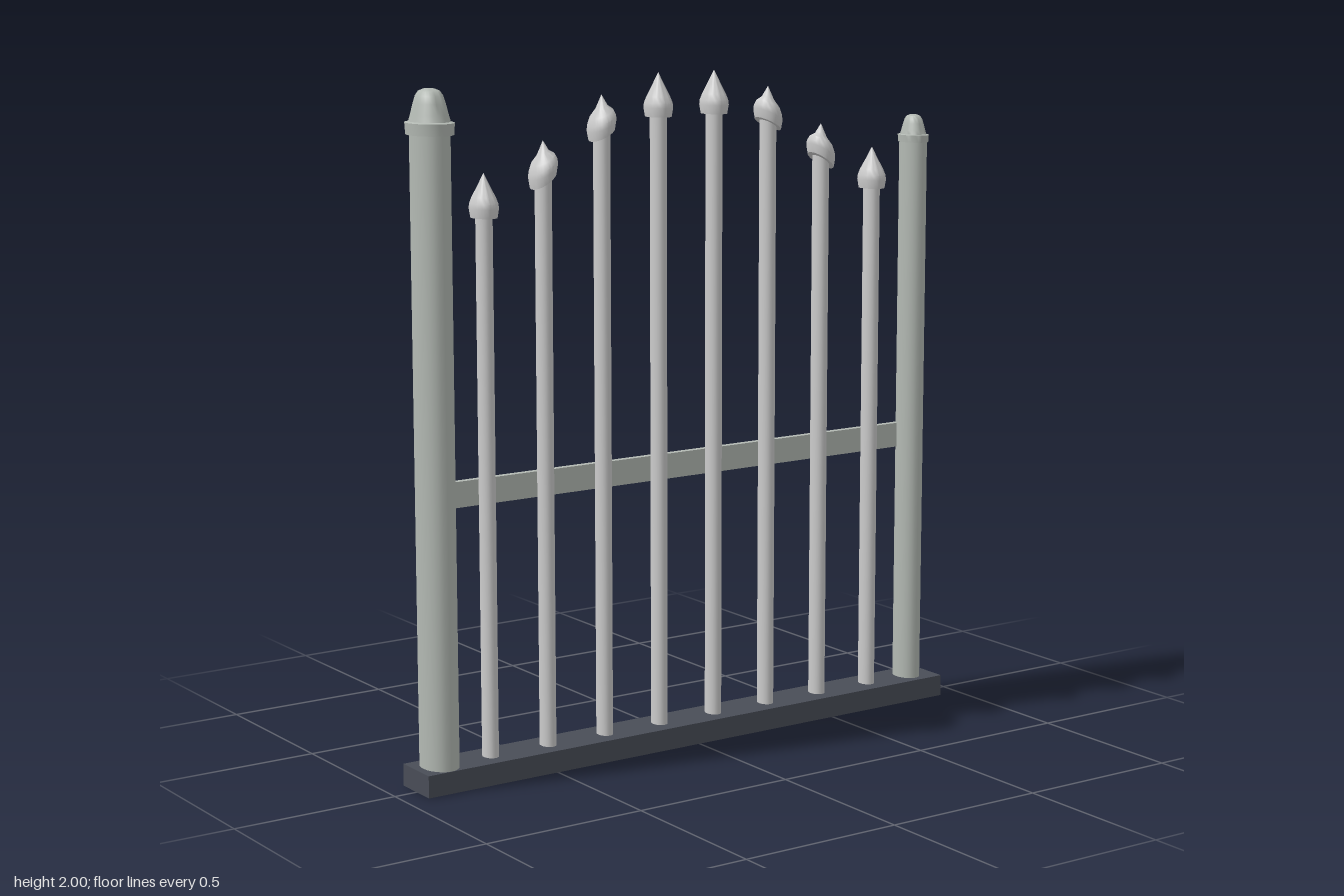
import * as THREE from 'three';
import { toCreasedNormals } from 'three/addons/utils/BufferGeometryUtils.js';

const paleGrey = new THREE.MeshStandardMaterial({ color: 0xcbcbcb });
paleGrey.name = 'paleGrey';
const stoneGrey = new THREE.MeshStandardMaterial({ color: 0xb3b9b3 });
stoneGrey.name = 'stoneGrey';
const slate = new THREE.MeshStandardMaterial({ color: 0x494d57, side: THREE.DoubleSide });
slate.name = 'slate';

const DEPTH = 1.3; // all turned parts are oval, deeper than wide
const SHAFT_BOTTOM = 0.04;

function add(parent, name, geometry, material) {
  const mesh = new THREE.Mesh(geometry, material);
  mesh.name = name;
  parent.add(mesh);
  return mesh;
}

// Oval open tube from inside the base up to a height
function shaft(radius, top) {
  const h = top - SHAFT_BOTTOM;
  return new THREE.CylinderGeometry(radius, radius, h, 24, 1, true)
    .scale(1, 1, DEPTH)
    .translate(0, SHAFT_BOTTOM + h / 2, 0);
}

// Oval turned shape; the lower rings can be tilted along x, fading to the tip
function turned(profile, slope = 0) {
  const points = profile.map(([r, y]) => new THREE.Vector2(r, y));
  const geo = new THREE.LatheGeometry(points, 28);
  const height = profile[profile.length - 1][1];
  const pos = geo.attributes.position;
  for (let i = 0; i < pos.count; i++) {
    const fade = 1 - 0.4 * pos.getY(i) / height;
    pos.setY(i, pos.getY(i) + slope * pos.getX(i) * fade);
  }
  return toCreasedNormals(geo.scale(1, 1, DEPTH), 0.6);
}

// Spear-headed picket
function picket(x, bottom, tip, slope) {
  const group = new THREE.Group();
  group.name = 'picket';
  group.position.x = x;
  add(group, 'picketShaft', shaft(0.0225, bottom + 0.025), paleGrey);
  const h = tip - bottom;
  const profile = [[0, 0], [0.035, 0], [0.039, 0.026], [0.0375, 0.04], [0.031, 0.058], [0.016, h - 0.036], [0, h]];
  add(group, 'spearHead', turned(profile, slope), paleGrey).position.y = bottom;
  return group;
}

// End post with a collar and bell-shaped cap
function post(name, x, radius, top, s) {
  const group = new THREE.Group();
  group.name = name;
  group.position.x = x;
  add(group, 'postShaft', shaft(radius, top + 0.01), stoneGrey);
  const profile = [
    [0, 0], [0.062, 0], [0.064, 0.033], [0.054, 0.036], [0.049, 0.055], [0.042, 0.085],
    [0.036, 0.106], [0.028, 0.119], [0.015, 0.125], [0, 0.126],
  ].map(([r, y]) => [r * s, y * s]);
  add(group, 'postCap', turned(profile), stoneGrey).position.y = top;
  return group;
}

export function createModel() {
  const model = new THREE.Group();
  model.name = 'fenceSection';

  // Hollow base, open underneath
  const box = new THREE.BoxGeometry(1.86, 0.065, 0.145);
  const index = Array.from(box.index.array);
  index.splice(18, 6); // remove the bottom face
  box.setIndex(index);
  box.clearGroups();
  add(model, 'base', box, slate).position.set(0, 0.0325, -0.002);

  // Rail behind the pickets
  add(model, 'rail', new THREE.BoxGeometry(1.7, 0.075, 0.02), stoneGrey).position.set(-0.004, 0.838, -0.03);

  // Posts: tall on the right, short on the left
  model.add(post('rightPost', -0.854, 0.053, 1.86, 1));
  model.add(post('leftPost', 0.845, 0.0375, 1.752, 0.66));

  // Mirrored pickets: x, head bottom, tip, tilt
  const pickets = [
    [0.098, 1.873, 2.0, 0],
    [0.293, 1.833, 1.945, 0.6],
    [0.49, 1.714, 1.825, 0.75],
    [0.685, 1.62, 1.745, 0],
  ];
  for (const [x, bottom, tip, slope] of pickets) {
    for (const side of [-1, 1]) model.add(picket(side * x, bottom, tip, -side * slope));
  }
  return model;
}
